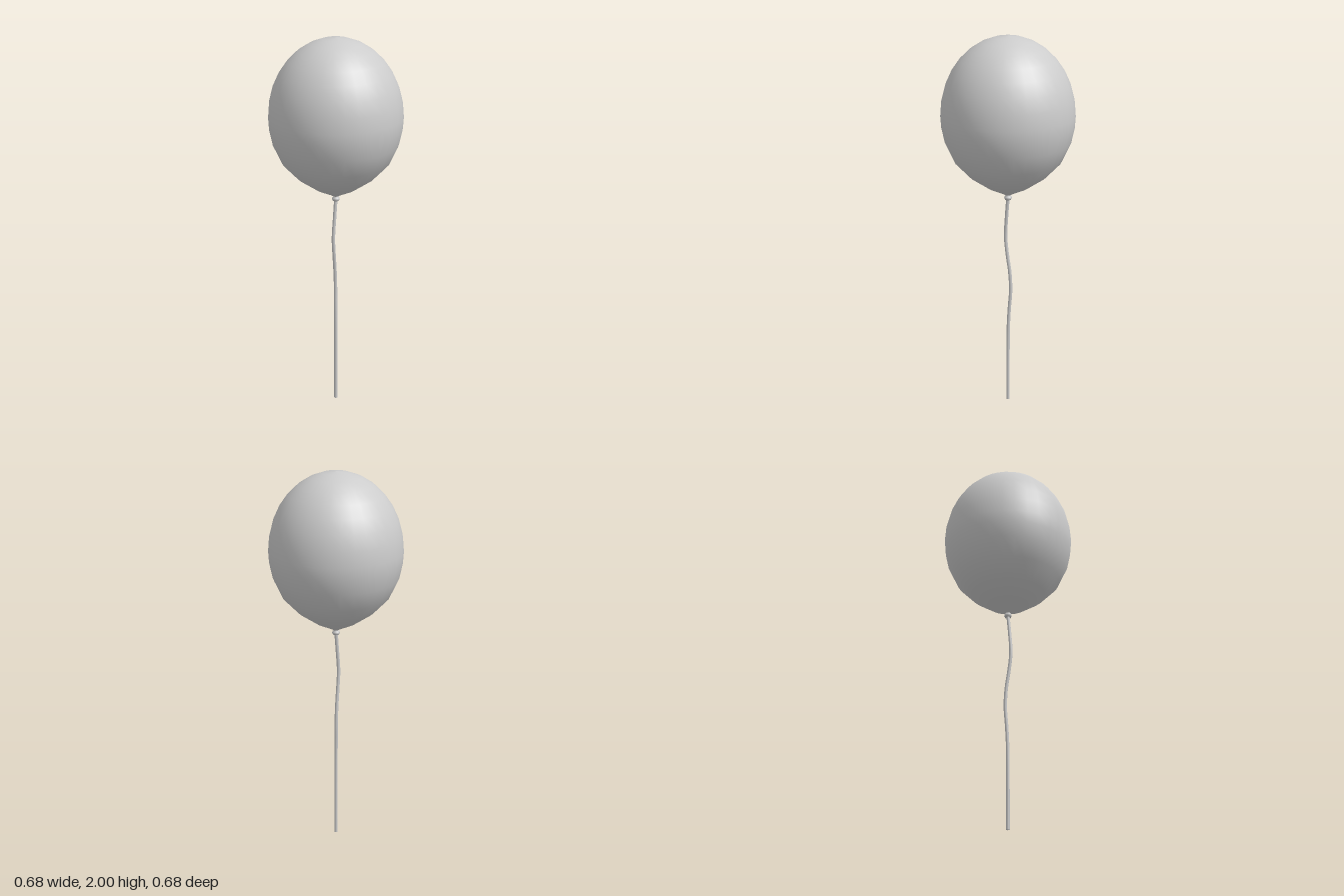
import * as THREE from 'three';

export function createModel() {
  const model = new THREE.Group();
  const grey = new THREE.MeshStandardMaterial({ color: 0xcccccc });
  grey.name = 'light grey';

  const add = (name, geometry) => {
    const mesh = new THREE.Mesh(geometry, grey);
    mesh.name = name;
    model.add(mesh);
    return mesh;
  };
  const points = (list) => list.map(([r, y]) => new THREE.Vector2(r, y));

  // Balloon body: tapered lower half, then an elliptical dome
  const profile = points([
    [0.009, 1.172], [0.03, 1.184], [0.106, 1.22], [0.2, 1.284],
    [0.276, 1.363], [0.321, 1.46], [0.338, 1.54],
  ]);
  for (let i = 0; i <= 8; i++) {
    const a = (i / 8) * Math.PI / 2;
    profile.push(new THREE.Vector2(i === 8 ? 0 : 0.342 * Math.cos(a), 1.6 + 0.4 * Math.sin(a)));
  }
  add('balloon', new THREE.LatheGeometry(profile, 32)).rotation.y = 0.05;

  // Tied neck with a flared rolled lip
  add('knot', new THREE.LatheGeometry(points([
    [0, 1.152], [0.016, 1.15], [0.02, 1.158], [0.019, 1.166], [0.012, 1.171], [0.013, 1.18],
  ]), 16));

  // Gently wavy string, straight towards its lower end
  const path = new THREE.CatmullRomCurve3([
    [0, 1.16, 0], [-0.007, 1.06, 0.007], [-0.014, 0.94, 0.012], [-0.009, 0.84, 0.003],
    [-0.003, 0.74, -0.01], [0, 0.64, -0.014], [0, 0.54, -0.007], [0, 0.44, -0.002],
    [0, 0.22, 0], [0, 0, 0],
  ].map((p) => new THREE.Vector3(...p)));
  add('string', new THREE.TubeGeometry(path, 40, 0.009, 8));
  const end = add('stringEnd', new THREE.CircleGeometry(0.009, 8));
  end.rotation.x = Math.PI / 2;

  return model;
}
